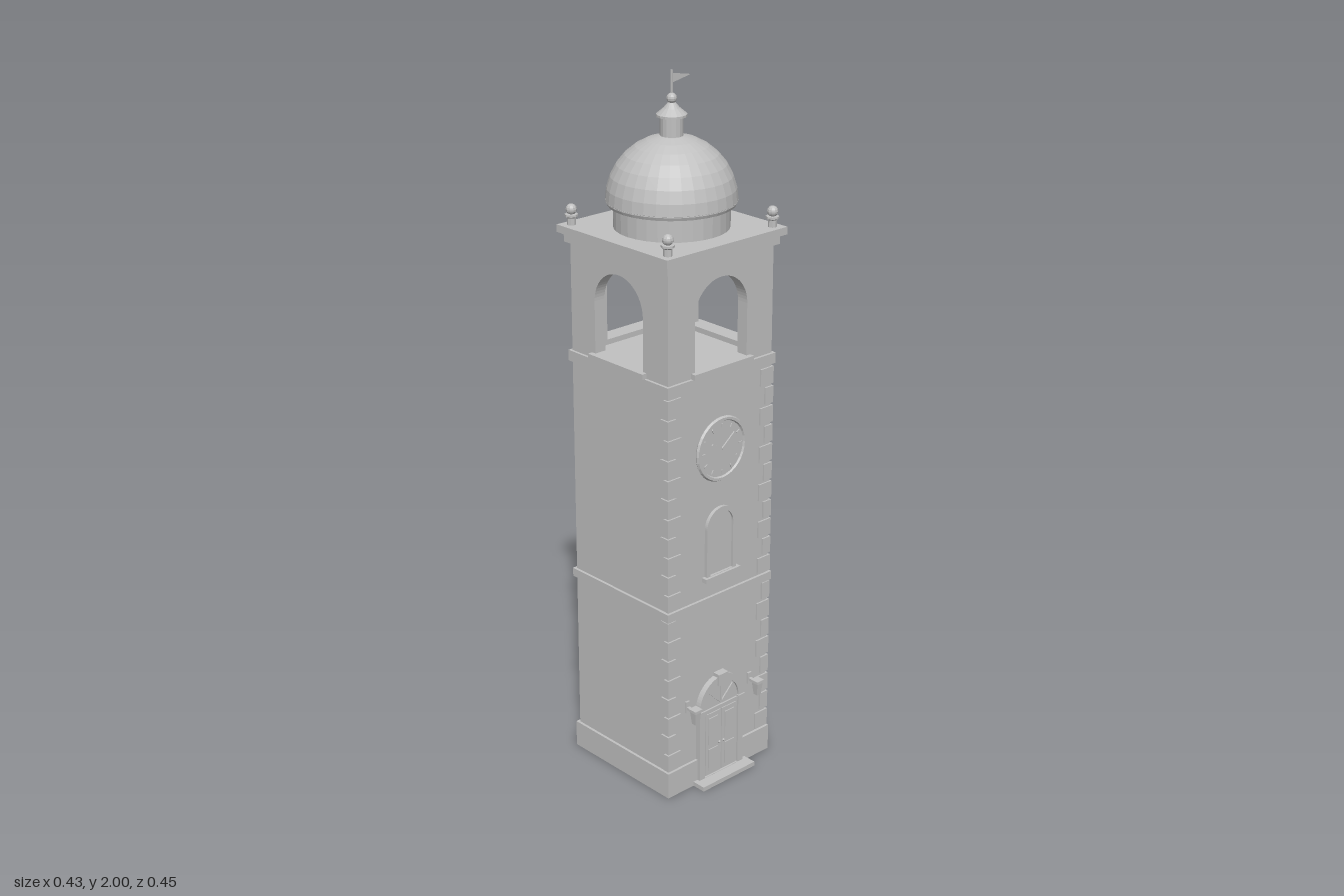
import * as THREE from 'three';

const stone = new THREE.MeshStandardMaterial({ color: 0xc0c0c0, flatShading: true, side: THREE.DoubleSide });
stone.name = 'stone grey';

const HALF = 0.19;      // half width of the shaft
const CENTRE_Z = -0.015;

function add(parent, name, geo, x = 0, y = 0, z = 0) {
  const mesh = new THREE.Mesh(geo, stone);
  mesh.name = name;
  mesh.position.set(x, y, z);
  parent.add(mesh);
  return mesh;
}

// Box given by its ranges in x, y and z
function block(parent, name, x0, x1, y0, y1, z0, z1) {
  return add(parent, name, new THREE.BoxGeometry(x1 - x0, y1 - y0, z1 - z0),
    (x0 + x1) / 2, (y0 + y1) / 2, (z0 + z1) / 2);
}

const slab = (parent, name, half, y0, y1) => block(parent, name, -half, half, y0, y1, -half, half);

const lathe = (points, segments) =>
  new THREE.LatheGeometry(points.map(([r, y]) => new THREE.Vector2(r, y)), segments);

// Round-headed outline
function arch(half, y0, spring, Type = THREE.Shape) {
  const s = new Type();
  s.moveTo(-half, y0);
  s.lineTo(half, y0);
  s.lineTo(half, spring);
  s.absarc(0, spring, half, 0, Math.PI, false);
  s.lineTo(-half, y0);
  return s;
}

const extrude = (shape, depth) =>
  new THREE.ExtrudeGeometry(shape, { depth, bevelEnabled: false, curveSegments: 16 });

function archFrame(outer, inner, y0, spring, depth) {
  const s = arch(outer, y0, spring);
  s.holes.push(arch(inner, y0 + 0.001, spring, THREE.Path));
  return extrude(s, depth);
}

function buildBelfry(tower) {
  const t = 0.035;
  for (let i = 0; i < 4; i++) {
    const side = new THREE.Group();
    side.name = 'belfrySide';
    side.rotation.y = i * Math.PI / 2;
    const w = i % 2 ? HALF - t : HALF;
    const wall = new THREE.Shape();
    wall.moveTo(-w, 1.235).lineTo(w, 1.235).lineTo(w, 1.545).lineTo(-w, 1.545).lineTo(-w, 1.235);
    wall.holes.push(arch(0.095, 1.245, 1.397, THREE.Path));
    add(side, 'belfryWall', extrude(wall, t), 0, 0, HALF - t);
    block(side, 'belfrySill', -0.108, 0.108, 1.235, 1.25, HALF - t, 0.205);
    tower.add(side);
  }
  // Bell and its beam
  block(tower, 'bellBeam', -0.16, 0.16, 1.495, 1.52, -0.013, 0.013);
  add(tower, 'bellHanger', new THREE.CylinderGeometry(0.011, 0.011, 0.03, 8), 0, 1.487, 0);
  add(tower, 'bell', lathe([[0, 1.48], [0.026, 1.479], [0.032, 1.468], [0.035, 1.435],
    [0.043, 1.405], [0.054, 1.385], [0.055, 1.378], [0.048, 1.378], [0.03, 1.42], [0, 1.465]], 20));
  add(tower, 'clapper', new THREE.SphereGeometry(0.01, 8, 6), 0, 1.39, 0);
}

function buildRoof(tower) {
  slab(tower, 'lowerCornice', 0.202, 1.54, 1.566);
  slab(tower, 'upperCornice', 0.215, 1.566, 1.587);
  add(tower, 'drum', new THREE.CylinderGeometry(0.155, 0.155, 0.07, 32), 0, 1.621, 0);
  add(tower, 'domeLip', new THREE.CylinderGeometry(0.175, 0.17, 0.012, 32), 0, 1.655, 0);
  add(tower, 'dome', new THREE.SphereGeometry(0.175, 32, 8, 0, Math.PI * 2, 0, Math.PI / 2), 0, 1.658, 0);
  add(tower, 'lantern', new THREE.CylinderGeometry(0.031, 0.031, 0.065, 16), 0, 1.853, 0);
  add(tower, 'lanternCap', lathe([[0, 1.88], [0.041, 1.88], [0.041, 1.886], [0.022, 1.902],
    [0.01, 1.916], [0, 1.916]], 16));
  add(tower, 'capBall', new THREE.SphereGeometry(0.014, 10, 8), 0, 1.927, 0);
  add(tower, 'flagPole', new THREE.CylinderGeometry(0.003, 0.003, 0.07, 6), 0, 1.965, 0);
  const flag = new THREE.Shape();
  flag.moveTo(0, 1.992).lineTo(0, 1.966).lineTo(0.068, 1.979);
  add(tower, 'flag', new THREE.ShapeGeometry(flag));
  // Corner finials
  for (const x of [-0.187, 0.187]) for (const z of [-0.187, 0.187]) {
    add(tower, 'finialStem', lathe([[0, 1.587], [0.012, 1.587], [0.012, 1.606],
      [0.018, 1.61], [0.018, 1.616], [0, 1.618]], 8), x, 0, z);
    add(tower, 'finialBall', new THREE.SphereGeometry(0.015, 10, 8), x, 1.629, z);
  }
}

function buildQuoins(tower) {
  for (const [y0, y1, n] of [[0.078, 0.553, 8], [0.578, 1.2, 11]]) {
    const h = (y1 - y0) / n;
    for (let i = 0; i < n; i++) for (const s of [-1, 1]) {
      const long = i % 2 ? 0.03 : 0.048;
      const out = HALF + 0.005;
      const y = y0 + i * h;
      block(tower, 'quoin', Math.min(s * out, s * (out - long)), Math.max(s * out, s * (out - long)),
        y + 0.004, y + h - 0.004, out - (i % 2 ? 0.03 : 0.018), out);
    }
  }
}

function buildDoor(tower) {
  block(tower, 'doorStep', -0.101, 0.101, 0, 0.013, 0.18, 0.24);
  add(tower, 'doorSurround', archFrame(0.085, 0.065, 0.013, 0.238, 0.022), 0, 0, HALF - 0.005);
  add(tower, 'doorBacking', extrude(arch(0.066, 0.013, 0.238), 0.013), 0, 0, HALF - 0.002);
  block(tower, 'keystone', -0.018, 0.018, 0.296, 0.331, HALF, 0.213);
  block(tower, 'transom', -0.065, 0.065, 0.218, 0.23, HALF, 0.206);
  for (const s of [-1, 1]) {
    block(tower, 'doorCapital', s * 0.075 - 0.013, s * 0.075 + 0.013, 0.218, 0.234, HALF, 0.211);
    block(tower, 'doorLeaf', s * 0.031 - 0.028, s * 0.031 + 0.028, 0.016, 0.214, HALF, 0.204);
    for (const [y0, y1] of [[0.03, 0.1], [0.115, 0.2]])
      block(tower, 'doorPanel', s * 0.032 - 0.018, s * 0.032 + 0.018, y0, y1, HALF, 0.207);
    add(tower, 'doorKnob', new THREE.SphereGeometry(0.004, 8, 6), s * 0.008, 0.11, 0.206);
  }
  // Fanlight bars
  for (const a of [-0.8, 0, 0.8]) {
    const bar = add(tower, 'fanlightBar', new THREE.BoxGeometry(0.005, 0.062, 0.006),
      Math.sin(a) * 0.033, 0.236 + Math.cos(a) * 0.033, 0.202);
    bar.rotation.z = -a;
  }
  // Wall lamps beside the door
  for (const x of [-0.121, 0.121]) {
    block(tower, 'lampArm', x - 0.005, x + 0.005, 0.256, 0.264, HALF, 0.23);
    block(tower, 'lampTop', x - 0.0135, x + 0.0135, 0.262, 0.27, 0.213, 0.24);
    const lamp = add(tower, 'lamp', new THREE.CylinderGeometry(0.016, 0.01, 0.04, 4), x, 0.243, 0.2265);
    lamp.rotation.y = Math.PI / 4;
    block(tower, 'lampBracket', x - 0.007, x + 0.007, 0.245, 0.28, HALF, 0.196);
  }
}

function buildWindowAndClock(tower) {
  add(tower, 'windowFrame', archFrame(0.055, 0.043, 0.643, 0.785, 0.012), 0, 0, HALF - 0.002);
  add(tower, 'windowPane', extrude(arch(0.044, 0.643, 0.785), 0.005), 0, 0, HALF - 0.002);
  block(tower, 'windowSill', -0.065, 0.065, 0.63, 0.643, HALF, 0.208);

  const clock = new THREE.Group();
  clock.name = 'clock';
  clock.position.set(0, 1.01, HALF);
  add(clock, 'clockFace', new THREE.CylinderGeometry(0.087, 0.087, 0.012, 32)).rotation.x = Math.PI / 2;
  add(clock, 'clockRim', new THREE.TorusGeometry(0.086, 0.007, 6, 32), 0, 0, 0.005);
  for (let i = 0; i < 12; i++) {
    const a = i * Math.PI / 6;
    add(clock, 'hourMark', new THREE.BoxGeometry(0.004, 0.012, 0.004),
      Math.sin(a) * 0.068, Math.cos(a) * 0.068, 0.007).rotation.z = -a;
  }
  for (const [a, len] of [[-1.05, 0.042], [0.9, 0.058]])
    add(clock, 'clockHand', new THREE.BoxGeometry(0.005, len, 0.004),
      Math.sin(a) * len / 2, Math.cos(a) * len / 2, 0.008).rotation.z = -a;
  tower.add(clock);
}

export function createModel() {
  const tower = new THREE.Group();
  tower.name = 'bellTower';
  tower.position.z = CENTRE_Z;

  slab(tower, 'plinth', 0.198, 0, 0.078);
  slab(tower, 'shaft', HALF, 0.07, 1.235);
  slab(tower, 'middleBand', 0.198, 0.553, 0.578);
  slab(tower, 'upperBand', 0.198, 1.205, 1.235);
  buildBelfry(tower);
  buildRoof(tower);
  buildQuoins(tower);
  buildDoor(tower);
  buildWindowAndClock(tower);

  const model = new THREE.Group();
  model.name = 'model';
  model.add(tower);
  return model;
}
